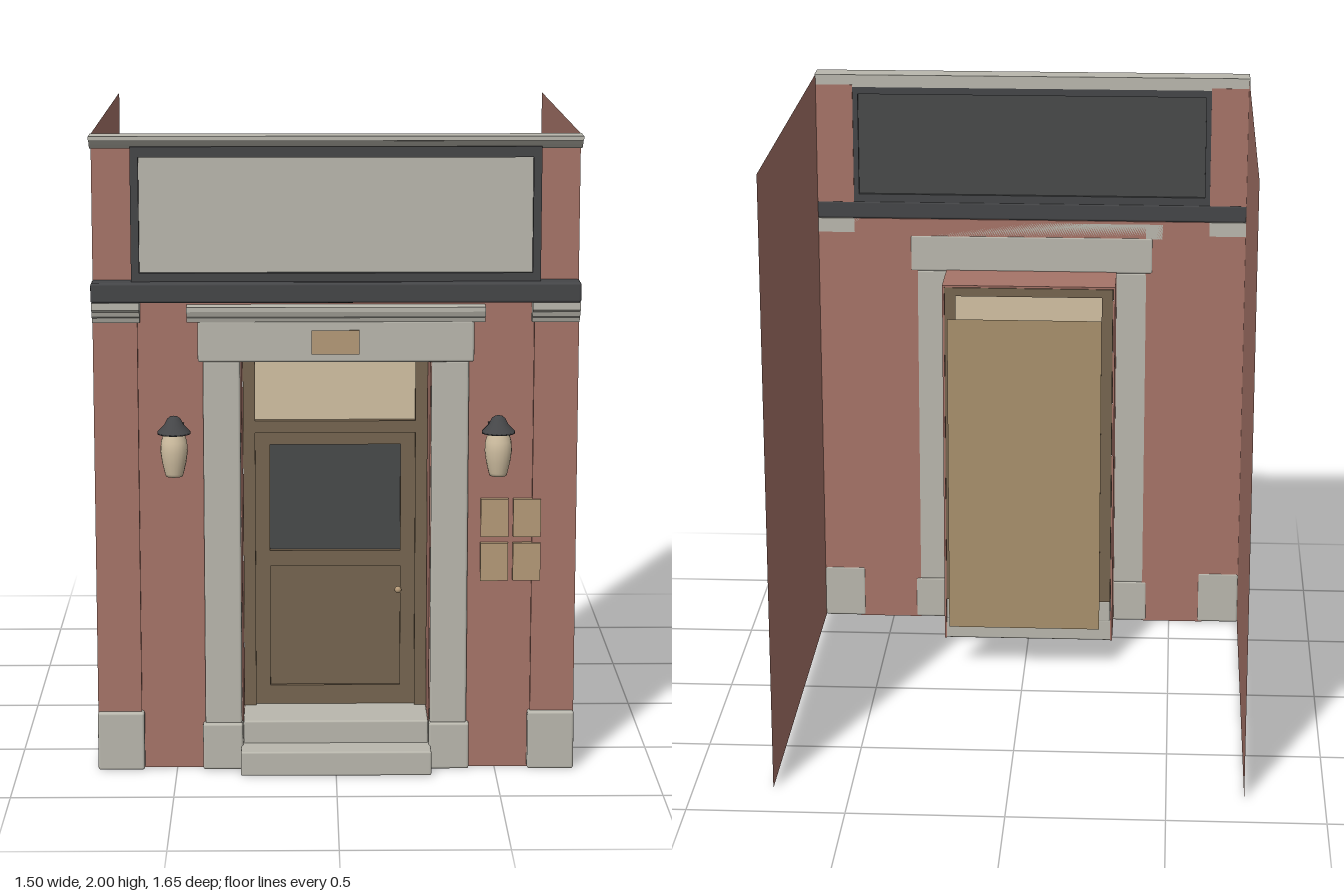
import * as THREE from 'three';
import { RoundedBoxGeometry } from 'three/addons/geometries/RoundedBoxGeometry.js';

const mat = (name, color, side = THREE.FrontSide) => {
  const m = new THREE.MeshStandardMaterial({ color, side });
  m.name = name;
  return m;
};

export function createModel() {
  const root = new THREE.Group();
  root.name = 'shopEntrance';
  const brick = mat('brick', 0xa67468, THREE.DoubleSide);
  const stone = mat('stone', 0xb9b7ad);
  const iron = mat('darkIron', 0x454648);
  const glass = mat('darkGlass', 0x484a4a);
  const wood = mat('brownWood', 0x766550);
  const cream = mat('creamGlass', 0xd2c1a3);
  const brass = mat('brassPlate', 0xb59a78);
  const backing = mat('tanBackdrop', 0xa9916c, THREE.DoubleSide);

  const add = (name, geo, material, x = 0, y = 0, z = 0) => {
    const m = new THREE.Mesh(geo, material);
    m.name = name;
    m.position.set(x, y, z);
    root.add(m);
    return m;
  };
  // Box given by its limits; r rounds the edges
  const box = (name, material, x0, x1, y0, y1, z0, z1, r = 0) => {
    const s = [x1 - x0, y1 - y0, z1 - z0];
    const geo = r ? new RoundedBoxGeometry(...s, 2, r) : new THREE.BoxGeometry(...s);
    return add(name, geo, material, (x0 + x1) / 2, (y0 + y1) / 2, (z0 + z1) / 2);
  };
  // The same box on both sides
  const pair = (name, material, x0, x1, ...rest) => {
    box(name + 'Left', material, x0, x1, ...rest);
    box(name + 'Right', material, -x1, -x0, ...rest);
  };
  // Moulding: a [z, y] profile swept along x
  const moulding = (name, material, x0, x1, profile) => {
    const shape = new THREE.Shape(profile.map(([z, y]) => new THREE.Vector2(-z, y)));
    const geo = new THREE.ExtrudeGeometry(shape, { depth: x1 - x0, bevelEnabled: false });
    geo.rotateY(Math.PI / 2);
    return add(name, geo, material, x0, 0, 0);
  };

  // Side walls
  for (const s of [1, -1]) {
    const wall = add(s > 0 ? 'sideWallLeft' : 'sideWallRight', new THREE.PlaneGeometry(1.5, 2), brick, s * 0.747, 1, -0.078);
    wall.rotation.y = s * Math.PI / 2;
  }

  // Front wall and corner pilasters
  pair('frontWall', brick, 0.4, 0.62, 0, 1.49, 0.67, 0.695);
  box('wallAboveDoor', brick, -0.4, 0.4, 1.425, 1.49, 0.67, 0.695);
  pair('pilaster', brick, 0.61, 0.747, 0.18, 1.44, 0.67, 0.708);
  pair('pilasterBase', stone, 0.602, 0.748, 0, 0.187, 0.668, 0.727, 0.008);
  const capital = [[0.67, 1.425], [0.715, 1.425], [0.72, 1.44], [0.73, 1.445], [0.735, 1.46], [0.748, 1.468], [0.748, 1.49], [0.67, 1.49]];
  moulding('capitalLeft', stone, 0.602, 0.748, capital);
  moulding('capitalRight', stone, -0.748, -0.602, capital);

  // Sign fascia
  box('signSill', iron, -0.75, 0.75, 1.49, 1.552, 0.668, 0.75, 0.008);
  pair('upperWall', brick, 0.62, 0.747, 1.55, 1.965, 0.664, 0.676);
  pair('signFrameSide', iron, 0.602, 0.627, 1.55, 1.965, 0.668, 0.716);
  box('signFrameTop', iron, -0.602, 0.602, 1.932, 1.965, 0.668, 0.716);
  box('signFrameBottom', iron, -0.602, 0.602, 1.55, 1.578, 0.668, 0.716);
  box('signBoard', stone, -0.603, 0.603, 1.576, 1.934, 0.69, 0.697);
  box('signBack', glass, -0.603, 0.603, 1.576, 1.934, 0.68, 0.69);
  moulding('cornice', stone, -0.75, 0.75,
    [[0.665, 1.957], [0.69, 1.957], [0.705, 1.962], [0.72, 1.972], [0.732, 1.984], [0.75, 1.986], [0.75, 2], [0.665, 2]]);

  // Stone door surround
  pair('jamb', stone, 0.295, 0.41, 0.145, 1.305, 0.67, 0.712, 0.008);
  pair('jambBase', stone, 0.292, 0.418, 0, 0.15, 0.668, 0.725, 0.008);
  box('lintel', stone, -0.425, 0.425, 1.302, 1.432, 0.668, 0.724, 0.008);
  moulding('lintelCrown', stone, -0.458, 0.458,
    [[0.67, 1.428], [0.728, 1.428], [0.732, 1.442], [0.74, 1.448], [0.745, 1.462], [0.745, 1.476], [0.67, 1.48]]);
  box('lintelPlate', brass, -0.075, 0.072, 1.328, 1.402, 0.722, 0.729);

  // Recessed porch and steps
  pair('porchWall', brick, 0.292, 0.299, 0, 1.305, 0.468, 0.67);
  box('porchCeiling', brick, -0.299, 0.299, 1.3, 1.307, 0.468, 0.67);
  box('lowerStep', stone, -0.298, 0.298, 0, 0.078, 0.47, 0.793, 0.006);
  box('upperStep', stone, -0.291, 0.291, 0.07, 0.15, 0.47, 0.695, 0.006);

  // Door frame and transom
  pair('doorFrameSide', wood, 0.253, 0.291, 0.15, 1.3, 0.463, 0.515);
  box('doorFrameTop', wood, -0.254, 0.254, 1.27, 1.3, 0.463, 0.515);
  box('transomBar', wood, -0.254, 0.254, 1.04, 1.078, 0.455, 0.512);
  box('transomGlass', cream, -0.254, 0.254, 1.077, 1.271, 0.478, 0.486);

  // Door leaf
  pair('doorStile', wood, 0.207, 0.253, 0.15, 1.04, 0.453, 0.5);
  box('doorTopRail', wood, -0.208, 0.208, 1.0, 1.04, 0.453, 0.5);
  box('doorMiddleRail', wood, -0.208, 0.208, 0.605, 0.655, 0.453, 0.5);
  box('doorBottomRail', wood, -0.208, 0.208, 0.15, 0.212, 0.453, 0.5);
  box('doorPanel', wood, -0.208, 0.208, 0.21, 0.607, 0.465, 0.487);
  box('doorGlass', glass, -0.208, 0.208, 0.654, 1.001, 0.472, 0.48);
  add('doorKnob', new THREE.SphereGeometry(0.011, 12, 8), brass, 0.2, 0.53, 0.515);

  // Interior backdrop behind the door
  add('interiorBackdrop', new THREE.PlaneGeometry(0.52, 1.11), backing, 0, 0.715, 0.175);

  // Wall plates beside the door
  for (const x of [0.45, 0.551])
    for (const y of [0.608, 0.748])
      box('wallPlate', brass, x, x + 0.086, y, y + 0.12, 0.69, 0.715);

  // Wall lamps
  const lathe = (pts, n) => new THREE.LatheGeometry(pts.map(([r, y]) => new THREE.Vector2(r, y)), n);
  const shade = lathe([[0, 0.955], [0.026, 0.957], [0.029, 0.966], [0.037, 1.0], [0.042, 1.035], [0.04, 1.065], [0.03, 1.098]], 20);
  const cap = lathe([[0, 1.088], [0.051, 1.09], [0.051, 1.096], [0.03, 1.118], [0.021, 1.136], [0.012, 1.143], [0, 1.146]], 20);
  for (const s of [1, -1]) {
    add('lampShade', shade, cream, s * 0.498, 0, 0.774);
    add('lampCap', cap, iron, s * 0.498, 0, 0.774);
    const cx = s * 0.498;
    box('lampArm', iron, cx - 0.006, cx + 0.006, 1.058, 1.07, 0.7, 0.774);
    box('lampBackPlate', iron, cx - 0.028, cx + 0.028, 1.02, 1.11, 0.69, 0.706);
  }
  return root;
}
